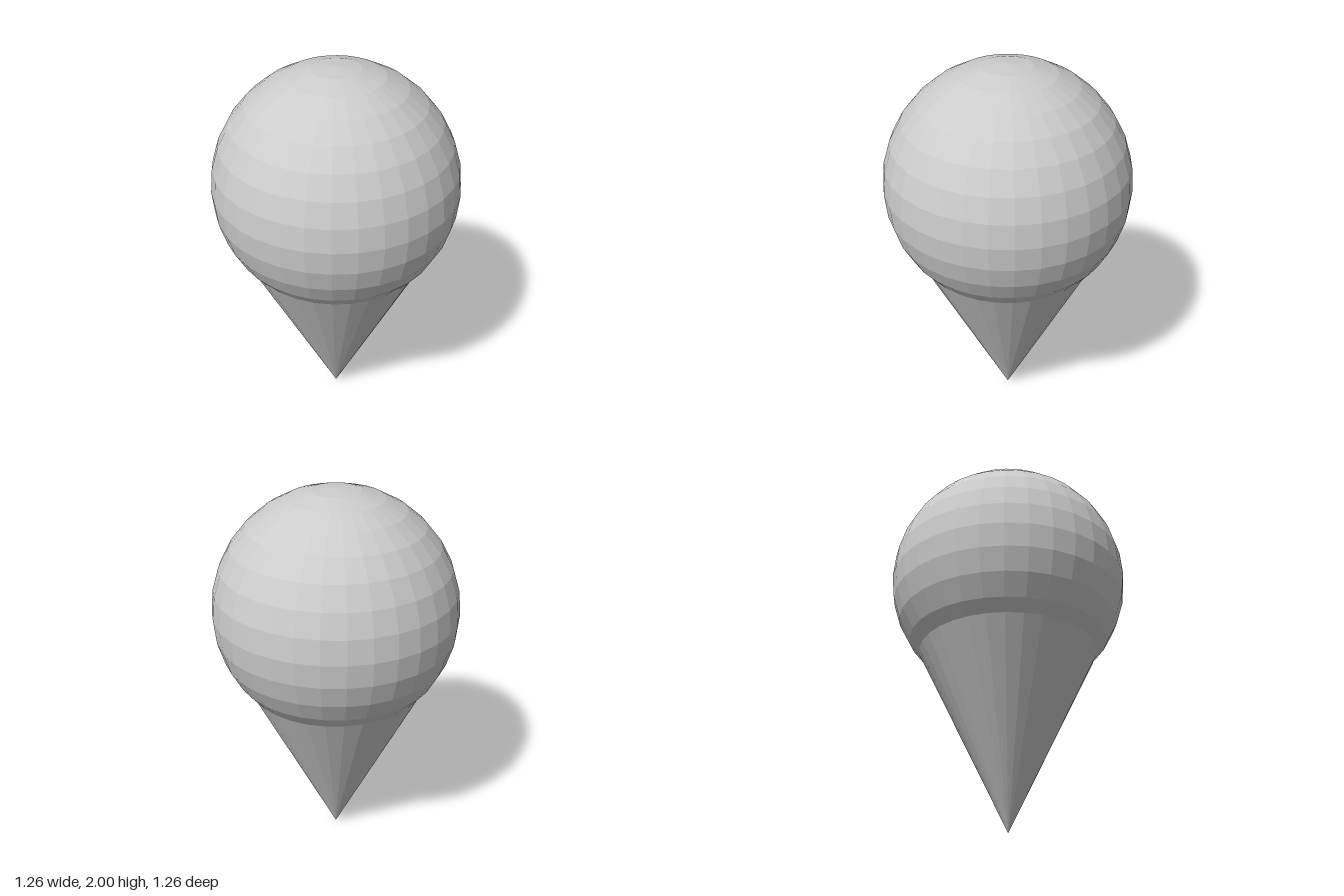
import * as THREE from 'three';

export function createModel() {
  const model = new THREE.Group();
  const material = new THREE.MeshStandardMaterial({ color: 0xcccccc, flatShading: true });
  const sides = 32;

  // Round scoop resting in the cone
  const radius = 0.632;
  const scoop = new THREE.Mesh(new THREE.SphereGeometry(radius, sides, 16), material);
  scoop.name = 'scoop';
  scoop.position.y = 2 - radius;
  model.add(scoop);

  // Pointed cone, tip down at the origin, its rim just inside the scoop
  const height = 1.02;
  const coneGeometry = new THREE.CylinderGeometry(height * 0.4945, 0, height, sides);
  coneGeometry.translate(0, height / 2, 0);
  const cone = new THREE.Mesh(coneGeometry, material);
  cone.name = 'cone';
  cone.rotation.z = 0.003; // very slight lean
  model.add(cone);

  return model;
}
